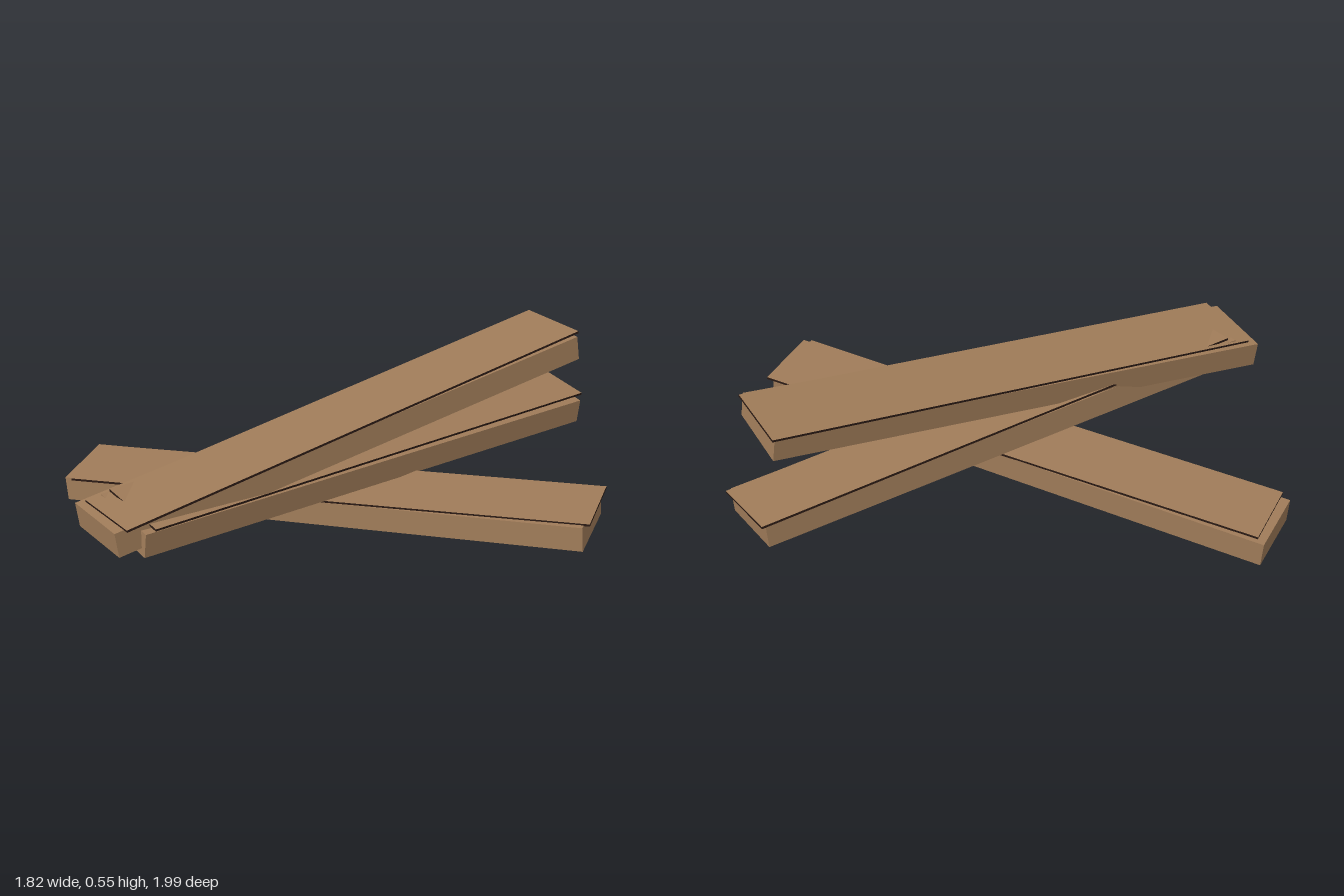
import * as THREE from 'three';

const wood = new THREE.MeshStandardMaterial({ color: 0xa07c59 });
wood.name = 'tan wood';
const dark = new THREE.MeshStandardMaterial({ color: 0x2a1a14 });
dark.name = 'dark brown edge';

const WIDTH = 0.273;
const THICKNESS = 0.087;
const SHEET = 0.008;

// Box running from start to end along its centre line, rolled about that line
function beam(name, start, end, roll, thickness, material) {
  const a = new THREE.Vector3(...start);
  const b = new THREE.Vector3(...end);
  const along = b.clone().sub(a);
  const length = along.length();
  along.normalize();
  const side = along.clone().cross(new THREE.Vector3(0, 1, 0)).normalize();
  const up = side.clone().cross(along);
  const mesh = new THREE.Mesh(new THREE.BoxGeometry(length, thickness, WIDTH), material);
  mesh.name = name;
  mesh.position.copy(a).add(b).multiplyScalar(0.5);
  mesh.quaternion.setFromRotationMatrix(new THREE.Matrix4().makeBasis(along, up, side));
  mesh.rotateX(roll);
  return mesh;
}

// Thick board with a thin, slightly skewed facing whose rim and underside are dark
function plank(name, { board, facing, roll }) {
  const group = new THREE.Group();
  group.name = name;
  group.add(beam('board', ...board, roll, THICKNESS, wood));
  group.add(beam('facing', ...facing, roll, SHEET, [dark, dark, wood, dark, dark, dark]));
  return group;
}

export function createModel() {
  const model = new THREE.Group();
  model.name = 'plankPile';
  model.add(
    plank('bottomPlank', {
      board: [[-0.853, 0.049, 0.447], [0.851, 0.211, -0.305]],
      facing: [[-0.822, 0.1, 0.452], [0.855, 0.257, -0.33]],
      roll: -0.025,
    }),
    plank('middlePlank', {
      board: [[-0.122, 0.315, 0.885], [0.195, 0.204, -0.95]],
      facing: [[-0.105, 0.367, 0.855], [0.18, 0.257, -0.98]],
      roll: 0.08,
    }),
    plank('topPlank', {
      board: [[-0.163, 0.314, 0.957], [0.248, 0.492, -0.857]],
      facing: [[-0.14, 0.365, 0.935], [0.23, 0.541, -0.875]],
      roll: -0.075,
    }),
  );
  return model;
}
